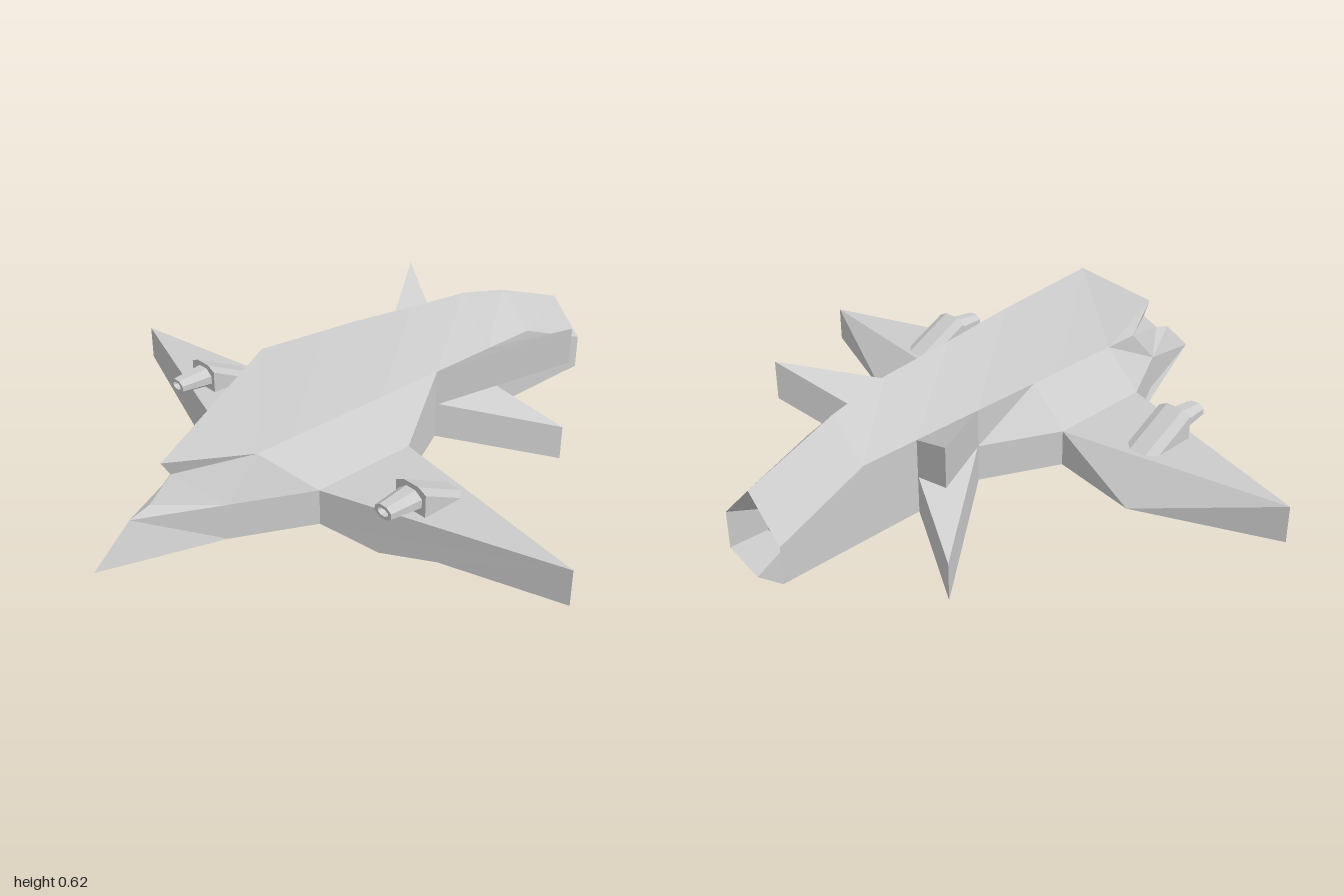
import * as THREE from 'three';

const material = new THREE.MeshStandardMaterial({
  color: 0xcccccc, flatShading: true, side: THREE.DoubleSide,
});

// Mesh from polygons (arrays of [x, y, z] corners, fanned from the first corner)
function polyMesh(name, polys) {
  const pos = [];
  for (const p of polys) {
    for (let i = 1; i < p.length - 1; i++) pos.push(...p[0], ...p[i], ...p[i + 1]);
  }
  const geo = new THREE.BufferGeometry();
  geo.setAttribute('position', new THREE.Float32BufferAttribute(pos, 3));
  geo.computeVertexNormals();
  const mesh = new THREE.Mesh(geo, material);
  mesh.name = name;
  return mesh;
}

const mirror = (polys) => polys.map((p) => p.map(([x, y, z]) => [-x, y, z]).reverse());

// Skin between counter-clockwise rings running from front to back
function loft(rings, capFront, capBack) {
  const polys = [];
  for (let i = 0; i < rings.length - 1; i++) {
    const a = rings[i], b = rings[i + 1], n = a.length;
    for (let j = 0; j < n; j++) {
      const k = (j + 1) % n;
      polys.push([a[j], b[j], b[k], a[k]]);
    }
  }
  if (capFront) polys.push(rings[0]);
  if (capBack) polys.push([...rings[rings.length - 1]].reverse());
  return polys;
}

// Eight-sided hull section: keel, lower side, upper side, shoulder, ridge
function hullRing(z, w, keel, high, shoulder, ridge) {
  const half = [[w, 0.13, z], [w, high, z], [0.125, shoulder, z]];
  const other = half.map(([x, y]) => [-x, y, z]).reverse();
  return [[0, keel, z], ...half, [0, ridge, z], ...other];
}

function hull() {
  const rings = [
    [0.37, 0.25, 0, 0.25, 0.375, 0.625],
    [0.13, 0.25, 0, 0.25, 0.375, 0.605],
    [0, 0.25, 0.03, 0.25, 0.375, 0.595],
    [-0.25, 0.125, 0.09, 0.25, 0.375, 0.565],
    [-0.5, 0.125, 0.09, 0.25, 0.375, 0.54],
    [-0.7, 0.125, 0.09, 0.25, 0.375, 0.49],
    [-1, 0.125, 0.09, 0.19, 0.25, 0.375],
  ].map((s) => hullRing(...s));
  // recessed exhaust
  const rear = rings[rings.length - 1];
  rings.push(rear.map(([x, y]) => [x * 0.6, 0.22 + (y - 0.22) * 0.6, -0.9]));
  return polyMesh('hull', loft(rings, false, true));
}

// Nose with overhanging brow and cockpit panel
function nose() {
  const ridge = [0, 0.625, 0.37], shoulder = [0.125, 0.375, 0.37];
  const sideTop = [0.25, 0.25, 0.37], sideLow = [0.25, 0.13, 0.37], keel = [0, 0, 0.37];
  const browTip = [0, 0.39, 0.75], browCorner = [0.125, 0.375, 0.5];
  const panelTop = [0, 0.34, 0.72], panelLow = [0, 0.27, 0.8];
  const cheekTop = [0.125, 0.25, 0.62], cheekLow = [0.125, 0.13, 0.62];
  const beakTop = [0, 0.25, 0.87], tip = [0, 0.13, 1];
  const half = [
    [ridge, browTip, browCorner, shoulder],
    [browTip, panelTop, browCorner],
    [panelTop, panelLow, cheekTop, browCorner],
    [panelLow, beakTop, cheekTop],
    [beakTop, tip, cheekLow, cheekTop],
    [browCorner, cheekTop, sideTop, shoulder],
    [cheekTop, cheekLow, sideLow, sideTop],
    [cheekLow, tip, keel, sideLow],
  ];
  return polyMesh('nose', [...half, ...mirror(half)]);
}

function wingPolys() {
  const topFront = [0.25, 0.25, 0.37], topBack = [0.25, 0.25, 0];
  const tipTop = [1, 0.25, 0.12], tipLow = [1, 0.13, 0.12];
  const lowFront = [0.25, 0.13, 0.37], dip = [0.44, 0.095, 0.307], lowMid = [0.62, 0.13, 0.247];
  const trailing = [0.56, 0.13, -0.06], lowBack = [0.25, 0.13, 0];
  return [
    [topFront, tipTop, topBack],
    [topBack, tipTop, trailing],
    [topBack, trailing, lowBack],
    [trailing, tipTop, tipLow],
    [tipTop, topFront, lowFront, dip, lowMid, tipLow],
    [trailing, tipLow, lowMid, dip, lowFront, lowBack],
  ];
}

// Swept tail fin rising or dropping by `rise` from root to tip
function finPolys(y, rise) {
  const low = [[0.125, y, -0.25], [0.125, y, -0.5], [0.375, y + rise, -0.62]];
  const [a, b, c] = low;
  const [A, B, C] = low.map(([px, py, pz]) => [px, py + 0.125, pz]);
  return [[A, C, B], [a, b, c], [A, a, c, C], [C, c, b, B]];
}

// Wing gun: wedge housing and hollow tapered barrel
function gun() {
  const group = new THREE.Group();
  const front = [[-0.06, 0.24], [0.06, 0.24], [0.06, 0.325], [0.03, 0.34], [-0.03, 0.34], [-0.06, 0.325]]
    .map(([x, y]) => [x, y, 0.24]);
  const back = front.map(([x, y]) => [x, Math.min(y, 0.25), y > 0.33 ? 0.06 : 0.09]);
  group.add(polyMesh('gunHousing', loft([front, back], true, false)));

  const ring = (z, rx, ry) => Array.from({ length: 8 }, (_, i) => {
    const t = (i + 0.5) * Math.PI / 4;
    return [rx * Math.cos(t), 0.291 + ry * Math.sin(t), z];
  });
  const rings = [
    ring(0.28, 0.022, 0.013), ring(0.35, 0.022, 0.013),
    ring(0.35, 0.036, 0.024), ring(0.24, 0.049, 0.036),
  ];
  group.add(polyMesh('gunBarrel', loft(rings, true, false)));
  return group;
}

export function createModel() {
  const model = new THREE.Group();
  model.name = 'spacecraft';
  model.add(hull(), nose());

  const paired = { Wing: wingPolys(), UpperTailFin: finPolys(0.25, 0.125), LowerTailFin: finPolys(0.13, -0.13) };
  for (const [name, polys] of Object.entries(paired)) {
    model.add(polyMesh('left' + name, polys), polyMesh('right' + name, mirror(polys)));
  }

  for (const side of [1, -1]) {
    const g = gun();
    g.name = side > 0 ? 'leftGun' : 'rightGun';
    g.position.x = side * 0.5;
    model.add(g);
  }
  return model;
}
